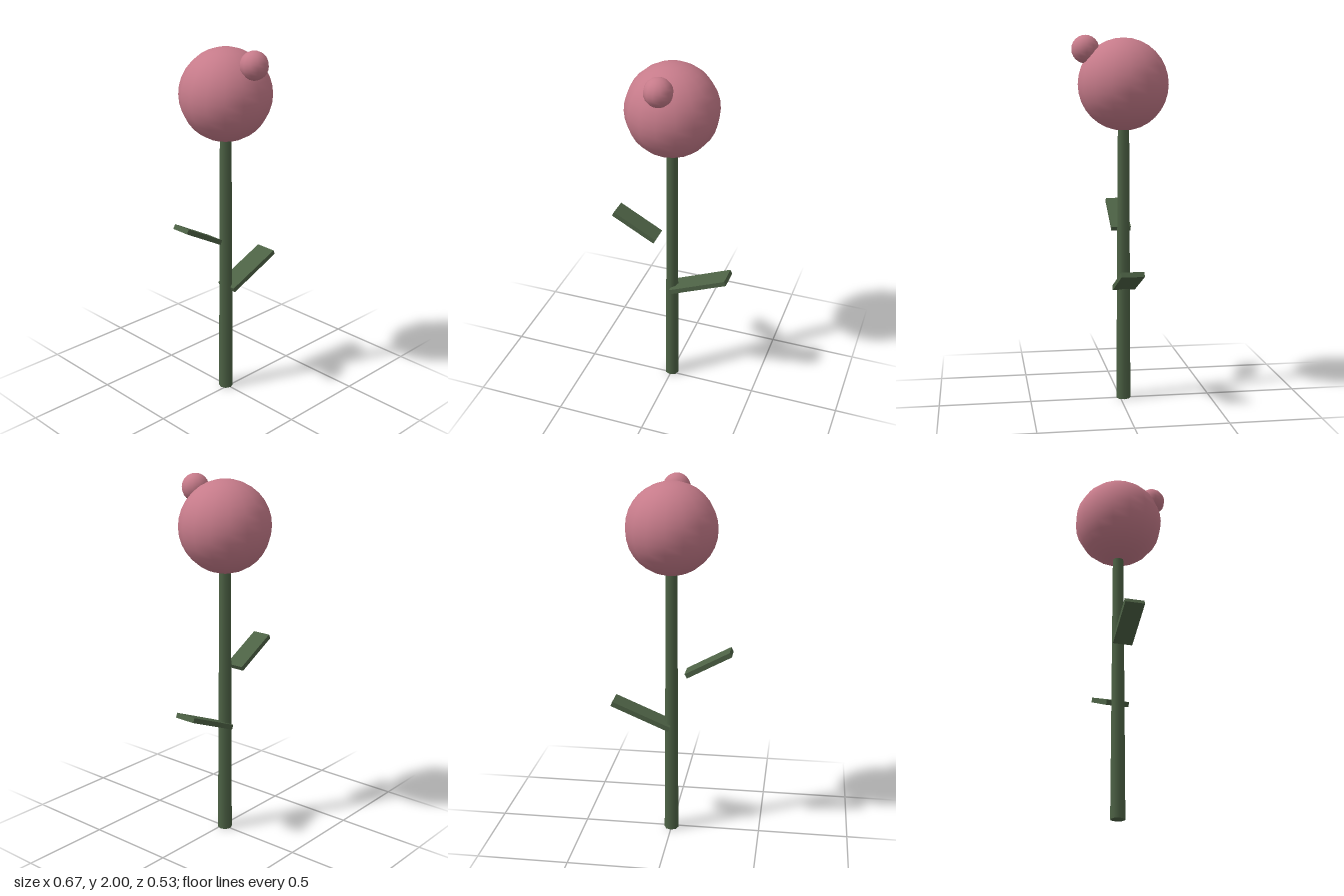
import * as THREE from 'three';

export function createModel() {
  const model = new THREE.Group();
  model.name = 'flower';

  const pink = new THREE.MeshStandardMaterial({ color: 0xc67b8a });
  pink.name = 'dusty pink';
  const green = new THREE.MeshStandardMaterial({ color: 0x4d6245 });
  green.name = 'leaf green';

  const axisZ = -0.018; // the stem line sits slightly behind the centre

  function add(name, geometry, material, x, y, z, tilt = 0) {
    const mesh = new THREE.Mesh(geometry, material);
    mesh.name = name;
    mesh.position.set(x, y, z);
    mesh.rotation.z = tilt;
    model.add(mesh);
  }

  // Tapered stem, its top tucked into the bloom
  const stemHeight = 1.52;
  add('stem', new THREE.CylinderGeometry(0.031, 0.04, stemHeight, 8), green, 0, stemHeight / 2, axisZ);

  // Slanted slab leaves
  add('leftLeaf', new THREE.BoxGeometry(0.348, 0.027, 0.123), green, 0.167, 0.697, axisZ, 0.4);
  add('rightLeaf', new THREE.BoxGeometry(0.276, 0.027, 0.107), green, -0.206, 1.01, axisZ, -0.5);

  // Round bloom with a small bud on its upper front
  add('bloom', new THREE.SphereGeometry(0.247, 16, 16), pink, 0, 1.74, axisZ);
  add('bud', new THREE.SphereGeometry(0.075, 12, 12), pink, 0, 1.925, 0.187);

  return model;
}
